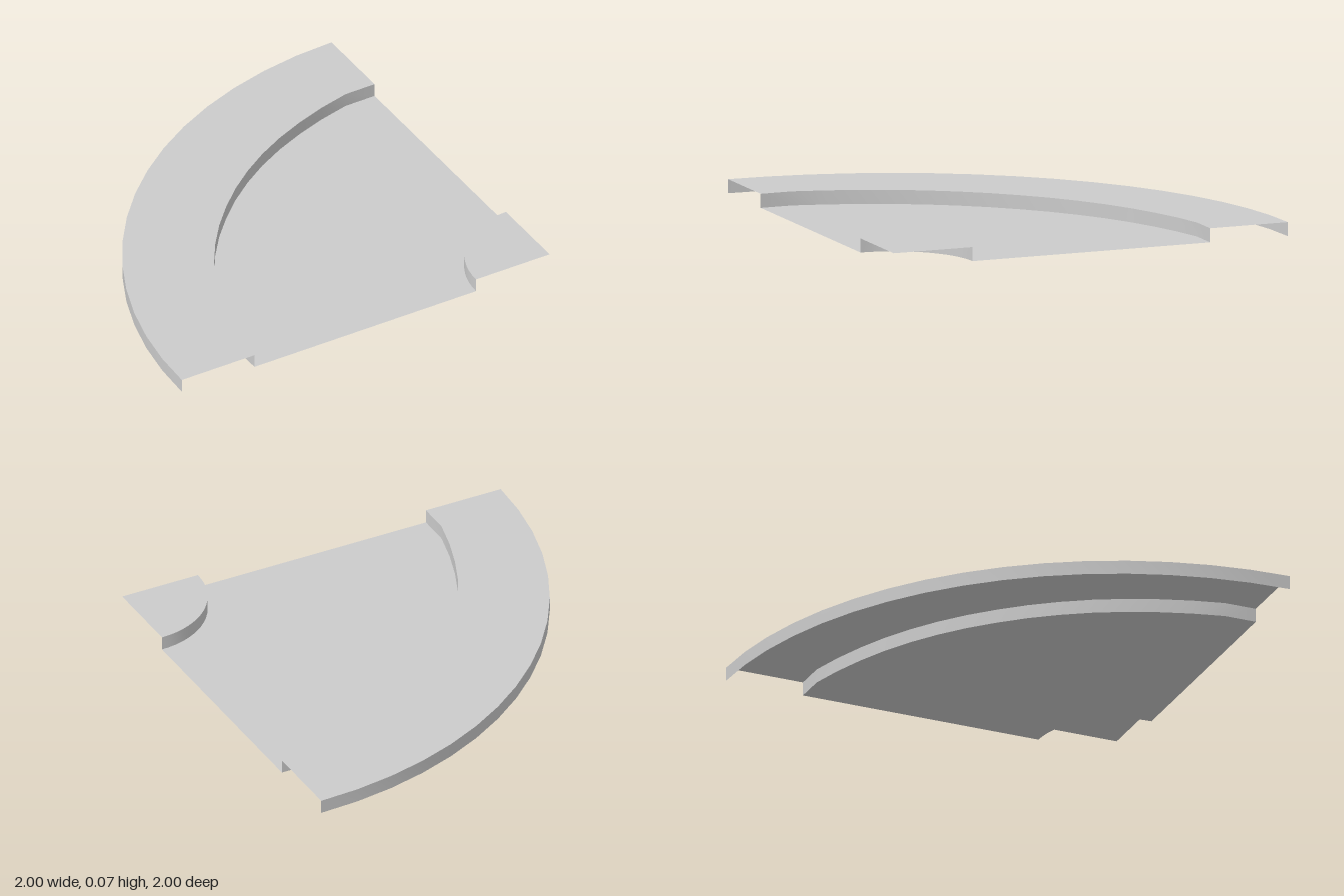
import * as THREE from 'three';

const SEGMENTS = 16;
const HEIGHT = 0.067;

// Rim radii from one end of the arc to its middle; mirrored for the other half
const RIM = [1.605, 1.612, 1.597, 1.585, 1.577, 1.571, 1.566, 1.563, 1.561];
const rimRadius = (i) => RIM[Math.min(i, SEGMENTS - i)];
const constant = (r) => () => r;

// Quarter-turn strip about the corner (1, 1), between two arcs [radius rule, y]
function strip(name, [r0, y0], [r1, y1], material) {
  const positions = [];
  const index = [];
  for (let i = 0; i <= SEGMENTS; i++) {
    const a = (i / SEGMENTS) * Math.PI / 2;
    for (const [r, y] of [[r0(i), y0], [r1(i), y1]]) {
      positions.push(1 - r * Math.cos(a), y, 1 - r * Math.sin(a));
    }
    if (i < SEGMENTS) {
      const k = i * 2;
      index.push(k, k + 1, k + 2, k + 1, k + 3, k + 2);
    }
  }
  const geometry = new THREE.BufferGeometry();
  geometry.setAttribute('position', new THREE.Float32BufferAttribute(positions, 3));
  // Reverse the corners so flat strips face up and walls face their open side
  geometry.setIndex(index.reverse());
  geometry.computeVertexNormals();
  const mesh = new THREE.Mesh(geometry, material);
  mesh.name = name;
  return mesh;
}

export function createModel() {
  const group = new THREE.Group();
  group.name = 'curvedCornerPanel';
  const material = new THREE.MeshStandardMaterial({ color: 0xcccccc, side: THREE.DoubleSide });

  const centre = constant(0);
  const hub = constant(0.4);
  const outer = constant(2);

  // Open sheet running from the corner outwards: raised, sunk, raised, then down
  group.add(
    strip('cornerCap', [centre, HEIGHT], [hub, HEIGHT], material),
    strip('cornerWall', [hub, HEIGHT], [hub, 0], material),
    strip('sunkenFloor', [hub, 0], [rimRadius, 0], material),
    strip('innerRimWall', [rimRadius, 0], [rimRadius, HEIGHT], material),
    strip('raisedRim', [rimRadius, HEIGHT], [outer, HEIGHT], material),
    strip('outerWall', [outer, HEIGHT], [outer, 0], material),
  );
  return group;
}
